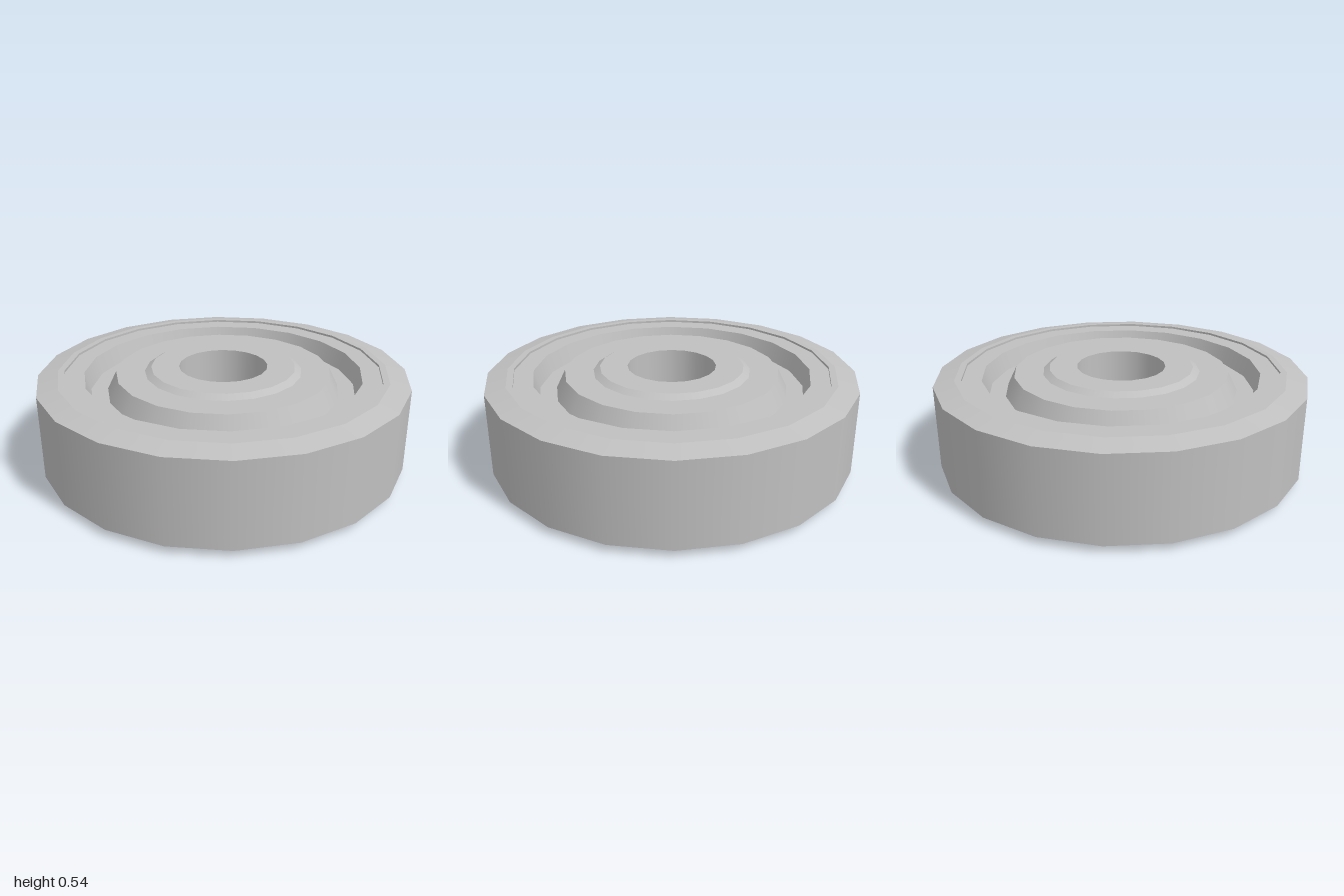
import * as THREE from 'three';
import { mergeGeometries } from 'three/addons/utils/BufferGeometryUtils.js';

const SIDES = 20;
const HEIGHT = 0.535;

// Revolves each profile segment separately: smooth around, sharp between bands
function revolve(profile) {
  const bands = [];
  for (let i = 0; i < profile.length - 1; i++) {
    const pair = [profile[i], profile[i + 1]].map(([r, y]) => new THREE.Vector2(r, y));
    bands.push(new THREE.LatheGeometry(pair, SIDES));
  }
  return mergeGeometries(bands);
}

// Same profile on the underside, reversed so that it still faces outwards
const flip = (profile) => profile.map(([r, y]) => [r, HEIGHT - y]).reverse();

export function createModel() {
  const model = new THREE.Group();
  model.name = 'bearingWheel';
  const steel = new THREE.MeshStandardMaterial({ color: 0xc0c0c0 });
  steel.name = 'grey steel';

  const add = (name, profile) => {
    const mesh = new THREE.Mesh(revolve(profile), steel);
    mesh.name = name;
    model.add(mesh);
  };

  // Bands of one face, listed from the rim inwards
  const faces = {
    Rim: [[1, 0.495], [0.89, 0.52], [0.855, 0.52], [0.855, 0.508]],
    Shield: [[0.855, 0.508], [0.75, 0.508]],
    Groove: [[0.75, 0.508], [0.72, 0.41], [0.63, 0.41], [0.58, 0.512]],
    InnerRing: [[0.58, 0.512], [0.425, 0.512]],
    Hub: [[0.425, 0.512], [0.39, 0.535], [0.24, 0.535]],
  };
  for (const [name, profile] of Object.entries(faces)) {
    add('top' + name, profile);
    add('bottom' + name, flip(profile));
  }

  // Outer tread and the bore through the middle
  add('outerWall', [[1, 0.04], [1, 0.495]]);
  add('bore', [[0.24, HEIGHT], [0.24, 0]]);

  return model;
}
